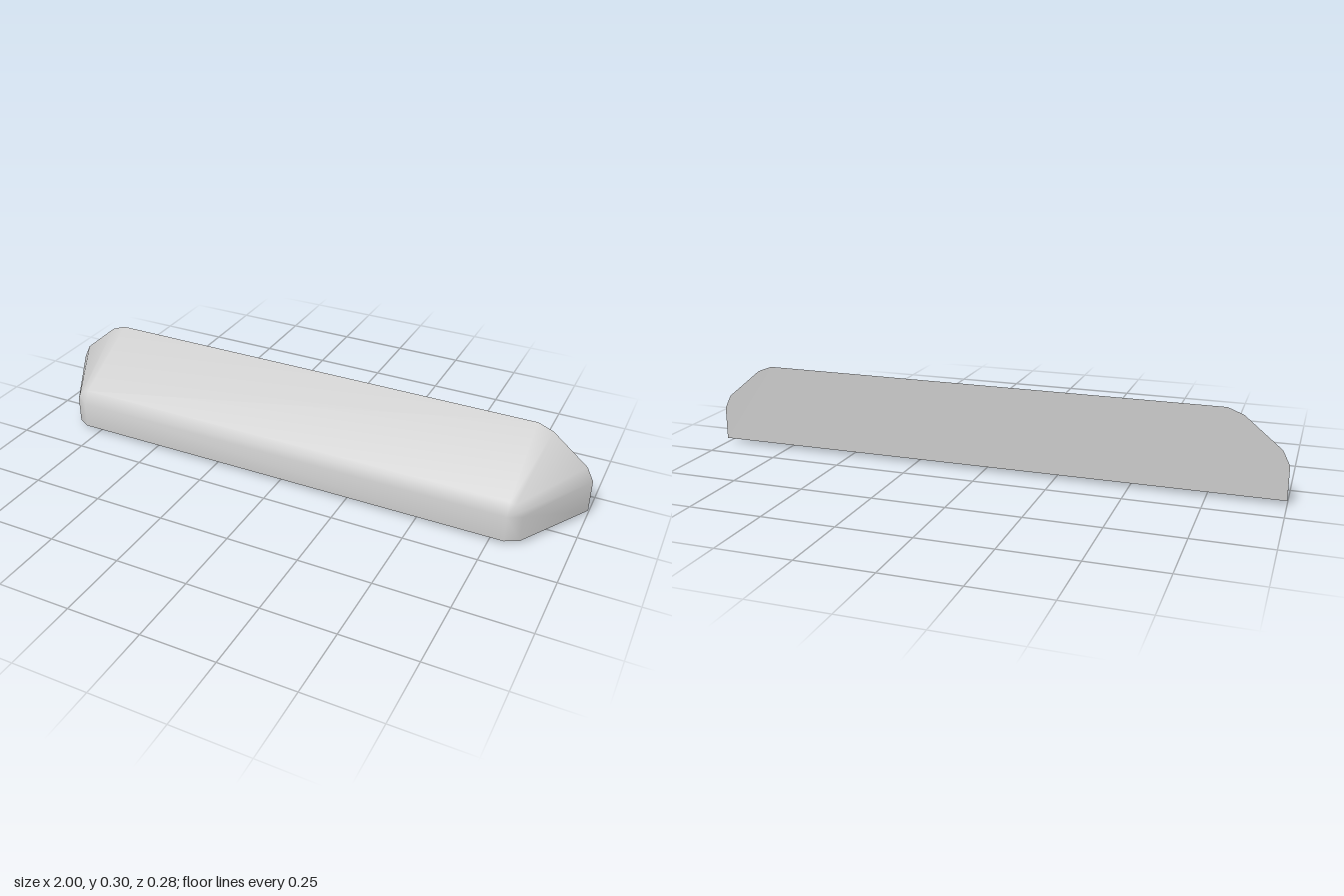
import * as THREE from 'three';
import { toCreasedNormals } from 'three/addons/utils/BufferGeometryUtils.js';

const BASE = 0.015;

// Cross-sections from back to front: depth and the left half outline, bottom to top
const OUTER = [
  { z: -0.142, half: [[1, BASE], [1, 0.13], [0.976, 0.178], [0.852, 0.28], [0.8, 0.3]] },
  { z: 0.118, half: [[0.845, BASE], [0.845, 0.107], [0.838, 0.125], [0.818, 0.144], [0.8, 0.15]] },
  { z: 0.142, half: [[0.8, BASE], [0.8, 0.107], [0.8, 0.107], [0.8, 0.107], [0.8, 0.107]] },
];

// The same sections moved inwards by the wall thickness
const INSET = [[0.035, 0.02], [0.015, -0.02], [0.015, -0.02]];
const INNER = OUTER.map(({ z, half }, i) => ({
  z: z + INSET[i][1],
  half: half.map(([x, y]) => [x - INSET[i][0], y > BASE ? y - INSET[i][0] : y]),
}));

// Joins the mirrored sections and closes the front and back; the base stays open
function loft(sections, inward) {
  const rings = sections.map(({ z, half }) => [
    ...half.map(([x, y]) => new THREE.Vector3(x, y, z)),
    ...half.slice().reverse().map(([x, y]) => new THREE.Vector3(-x, y, z)),
  ]);
  const positions = [];
  const tri = (a, b, c) => {
    if (new THREE.Triangle(a, b, c).getArea() < 1e-8) return;
    for (const p of inward ? [a, c, b] : [a, b, c]) positions.push(p.x, p.y, p.z);
  };
  const n = rings[0].length;
  for (let i = 0; i < rings.length - 1; i++) {
    for (let j = 0; j < n - 1; j++) {
      const [a, b, c, d] = [rings[i][j], rings[i][j + 1], rings[i + 1][j + 1], rings[i + 1][j]];
      tri(a, b, c);
      tri(a, c, d);
    }
  }
  const back = rings[0], front = rings[rings.length - 1];
  for (let j = 1; j < n - 1; j++) {
    tri(front[0], front[j], front[j + 1]);
    tri(back[0], back[j + 1], back[j]);
  }
  const geometry = new THREE.BufferGeometry();
  geometry.setAttribute('position', new THREE.Float32BufferAttribute(positions, 3));
  return toCreasedNormals(geometry, THREE.MathUtils.degToRad(42));
}

// Outline of the base in plan, x and z
function plan(sections) {
  const side = sections.map(({ z, half }) => new THREE.Vector2(half[0][0], z));
  return [...side, ...side.slice().reverse().map((p) => new THREE.Vector2(-p.x, p.y))];
}

export function createModel() {
  const model = new THREE.Group();
  model.name = 'wallLight';
  const material = new THREE.MeshStandardMaterial({ color: 0xcccccc });
  const add = (name, geometry, parent = model) => {
    const mesh = new THREE.Mesh(geometry, material);
    mesh.name = name;
    parent.add(mesh);
    return mesh;
  };

  // Hollow housing, open underneath
  const housing = new THREE.Group();
  housing.name = 'housing';
  model.add(housing);
  add('housingOutside', loft(OUTER, false), housing);
  add('housingInside', loft(INNER, true), housing);

  // Flat rim between the outer and inner walls
  const rimShape = new THREE.Shape(plan(OUTER));
  rimShape.holes.push(new THREE.Path(plan(INNER)));
  const rim = add('housingRim', new THREE.ShapeGeometry(rimShape).rotateX(Math.PI / 2), housing);
  rim.position.y = BASE;

  // Twelve-sided tube lying along the housing
  const tube = add('lightTube', new THREE.CylinderGeometry(0.07, 0.07, 1.59, 12).rotateZ(Math.PI / 2));
  tube.position.y = 0.07;

  return model;
}
